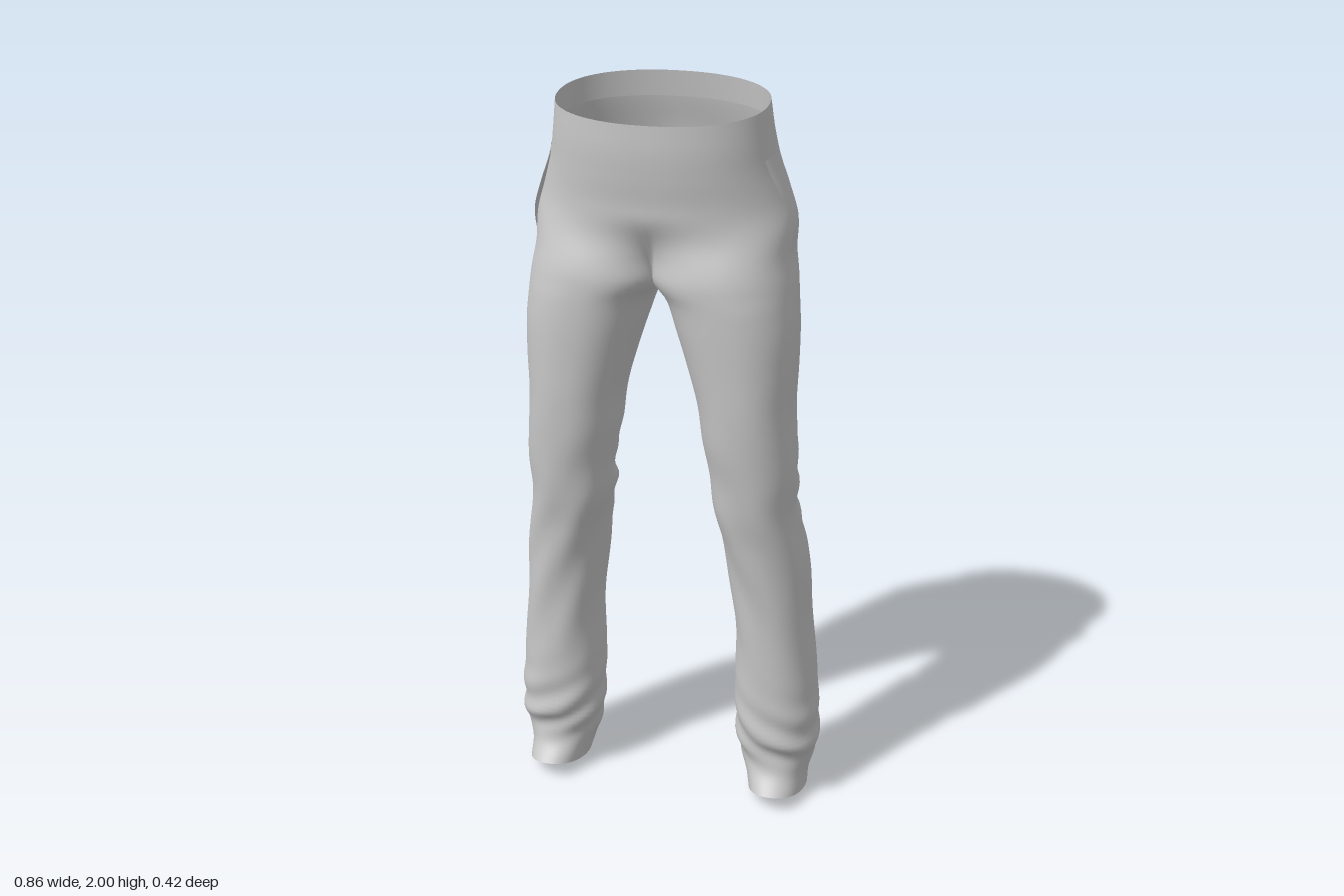
import * as THREE from 'three';
import { mergeGeometries, mergeVertices } from 'three/addons/utils/BufferGeometryUtils.js';

const CROTCH = 1.53, TOP = 2;

// Half profile: height, outer x, inner x, front z, back z
const PROFILE = [
  [0.00, 0.400, 0.245, 0.112, -0.162],
  [0.06, 0.403, 0.228, 0.075, -0.162],
  [0.12, 0.420, 0.210, 0.066, -0.163],
  [0.20, 0.428, 0.200, 0.080, -0.165],
  [0.32, 0.422, 0.195, 0.085, -0.165],
  [0.50, 0.405, 0.195, 0.093, -0.166],
  [0.65, 0.395, 0.183, 0.107, -0.163],
  [0.80, 0.375, 0.160, 0.130, -0.145],
  [0.90, 0.362, 0.142, 0.150, -0.115],
  [1.00, 0.362, 0.136, 0.165, -0.090],
  [1.10, 0.357, 0.115, 0.180, -0.103],
  [1.20, 0.352, 0.102, 0.190, -0.115],
  [1.30, 0.355, 0.075, 0.196, -0.124],
  [1.40, 0.355, 0.043, 0.202, -0.138],
  [1.48, 0.348, 0.013, 0.205, -0.160],
  [1.53, 0.343, -0.03, 0.205, -0.178],
  [1.60, 0.333, -0.03, 0.202, -0.200],
  [1.68, 0.333, -0.03, 0.195, -0.215],
  [1.76, 0.312, -0.03, 0.197, -0.207],
  [1.84, 0.290, -0.03, 0.207, -0.185],
  [1.92, 0.277, -0.03, 0.214, -0.162],
  [2.00, 0.268, -0.03, 0.215, -0.145],
];

// Smooth interpolation of the profile at a given height
function profileAt(y) {
  let i = 0;
  while (i < PROFILE.length - 2 && y > PROFILE[i + 1][0]) i++;
  const a = PROFILE[i], b = PROFILE[i + 1];
  const p = PROFILE[Math.max(0, i - 1)], n = PROFILE[Math.min(PROFILE.length - 1, i + 2)];
  const h = b[0] - a[0], t = (y - a[0]) / h, t2 = t * t, t3 = t2 * t;
  return [1, 2, 3, 4].map((k) => {
    const ma = (b[k] - p[k]) / (b[0] - p[0]) * h, mb = (n[k] - a[k]) / (n[0] - a[0]) * h;
    return (2 * t3 - 3 * t2 + 1) * a[k] + (t3 - 2 * t2 + t) * ma + (3 * t2 - 2 * t3) * b[k] + (t3 - t2) * mb;
  });
}

const rounded = (v, e) => Math.sign(v) * Math.pow(Math.abs(v), e);
const bell = (v, c, w) => Math.exp(-(((v - c) / w) ** 2));

// Cloth point on the left half. s: 0 front seam, 0.5 outside, 1 back seam, 1 to 1.2 inside of the leg
function cloth(s, y) {
  const [outer, inner, front, back] = profileAt(y);
  const zc = (front + back) / 2, rz = (front - back) / 2;
  const a = THREE.MathUtils.degToRad(150 - 300 * s), c = Math.cos(a), d = Math.sin(a);

  // Creases behind the knee and above the hem
  const fold =
    0.009 * bell(y, 0.94, 0.12) * Math.max(0, 0.2 - d) * Math.sin(62 * y + 5 * c) +
    0.007 * bell(y, 0.2, 0.1) * (0.6 + 0.4 * d) * Math.sin(58 * y + 4 * c + 2 * d) +
    0.003 * bell(y, 0.7, 0.3) * Math.sin(20 * y + 6 * c);

  // Leg tube
  const rx = (outer - inner) / 2;
  let x = Math.max(0, (outer + inner) / 2 + rx * rounded(c, 0.9) + fold * c);
  let z = zc + rz * rounded(d, 0.9) + fold * d;

  // Blend into half of the pelvis
  const k = THREE.MathUtils.smoothstep(y, CROTCH, 1.74);
  if (k > 0) {
    const t = Math.PI * s;
    const px = outer * Math.pow(Math.max(0, Math.sin(t)), 0.92);
    let pz = zc + rz * rounded(Math.cos(t), 0.9);
    if (s > 0.5) pz += 0.03 * bell(px, 0, 0.06) * bell(y, 1.66, 0.12);
    x += (px - x) * k;
    z += (pz - z) * k;
  }

  // Sloping waist and raised front of the hem
  let h = y;
  if (y > CROTCH) h = CROTCH + (y - CROTCH) * (1.976 - 0.155 * z - CROTCH) / (TOP - CROTCH);
  if (y < 0.2) h += 0.05 * (1 - y / 0.2) * Math.max(0, (z - back) / (front - back)) ** 1.5;
  return new THREE.Vector3(x, h, z);
}

// Grid of points at(u, v) as a surface; mirror builds the other half
function patch(nu, nv, at, mirror) {
  const pos = [], index = [];
  for (let j = 0; j <= nv; j++) {
    for (let i = 0; i <= nu; i++) {
      const p = at(i / nu, j / nv);
      pos.push(mirror ? -p.x : p.x, p.y, p.z);
    }
  }
  for (let j = 0; j < nv; j++) {
    for (let i = 0; i < nu; i++) {
      const a = j * (nu + 1) + i, b = a + 1, c = b + nu + 1, d = a + nu + 1;
      index.push(...(mirror ? [a, c, b, a, d, c] : [a, b, c, a, c, d]));
    }
  }
  const g = new THREE.BufferGeometry();
  g.setAttribute('position', new THREE.Float32BufferAttribute(pos, 3));
  g.setIndex(index);
  return g;
}

export function createModel() {
  const group = new THREE.Group();
  group.name = 'trousers';
  const fabric = new THREE.MeshStandardMaterial({ color: 0xc8c8c8, side: THREE.DoubleSide });
  fabric.name = 'light grey fabric';

  const add = (name, parts) => {
    const g = mergeVertices(mergeGeometries(parts), 1e-5);
    g.computeVertexNormals();
    const mesh = new THREE.Mesh(g, fabric);
    mesh.name = name;
    group.add(mesh);
  };
  const sides = [['left', false], ['right', true]];

  // Legs and hips, welded into one smooth cloth
  const shell = [];
  for (const [, mirror] of sides) {
    shell.push(patch(60, 110, (u, v) => cloth(u * 1.2, v * CROTCH), mirror));
    shell.push(patch(50, 36, (u, v) => cloth(u, CROTCH + v * (TOP - CROTCH)), mirror));
  }
  add('legsAndHips', shell);

  // Facing inside the waist
  add('waistFacing', sides.map(([, mirror]) => patch(50, 3, (u, v) => {
    const p = cloth(u, 1.93 + 0.07 * v), k = 1 - 0.025 * (1 - v);
    p.x *= k;
    p.z *= k;
    return p;
  }, mirror)));

  for (const [side, mirror] of sides) {
    // Slanted side pocket whose front edge stands slightly open
    add(side + 'SidePocket', [patch(8, 16, (u, v) => {
      const edge = 0.395 + 0.07 * (1 - v) ** 2;
      const p = cloth(edge + u * (0.53 - edge), 1.61 + 0.26 * v);
      p.x += 0.001 + 0.011 * (1 - u) * Math.sin(Math.PI * v);
      return p;
    }, mirror)]);

    // Narrow welt of the back pocket
    add(side + 'BackPocketWelt', [patch(8, 2, (u, v) => {
      const p = cloth(0.81 + 0.12 * u, 1.835 + 0.012 * v);
      p.z -= 0.003;
      return p;
    }, mirror)]);
  }
  return group;
}
